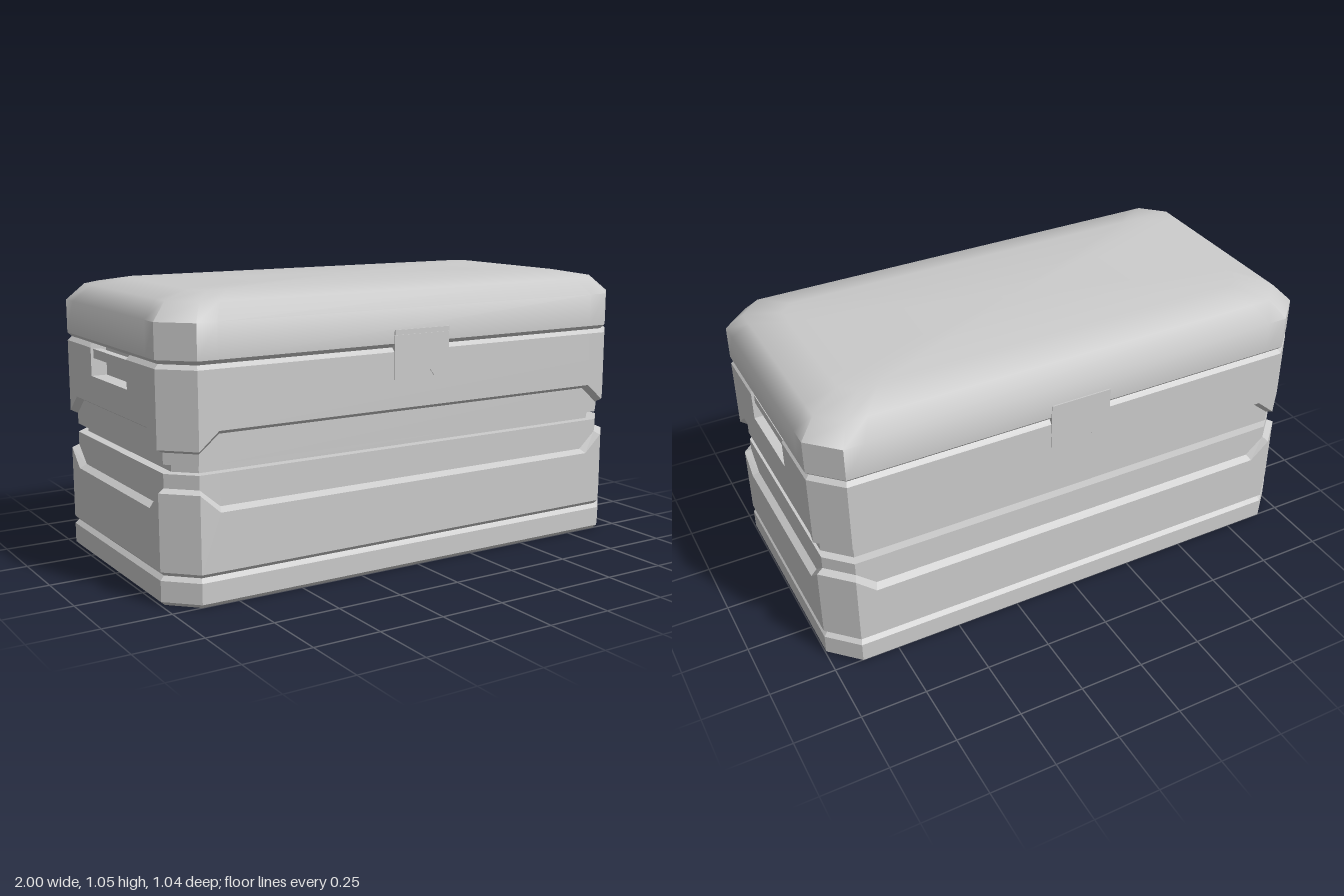
import * as THREE from 'three';
import { toCreasedNormals } from 'three/addons/utils/BufferGeometryUtils.js';

const HX = 1, HZ = 0.515, CHAMFER = 0.105, POCKET = 0.168;
const POCKET_QUADS = [2, 12]; // ring segments in the middle of the +x and -x sides

// Chamfered rectangle, inset by d; yMid is the height of the long middle run of each side
function ring(d, y, yMid = y, chamfer = CHAMFER - 0.586 * d) {
  const hx = HX - d, hz = HZ - d, cx = hx - chamfer, cz = hz - chamfer;
  const alongZ = [[-cz, y], [-cz + 0.075, yMid], [-POCKET, yMid], [POCKET, yMid], [cz - 0.075, yMid], [cz, y]];
  const alongX = [[cx, y], [cx - 0.075, yMid], [-cx + 0.075, yMid], [-cx, y]];
  return [
    ...alongZ.map(([z, h]) => [hx, h, z]),
    ...alongX.map(([x, h]) => [x, h, hz]),
    ...alongZ.map(([z, h]) => [-hx, h, -z]),
    ...alongX.map(([x, h]) => [-x, h, -hz]),
  ];
}

// Skin between rings from bottom to top, with optional flat caps and pocket openings
function loft(rings, { bottom = false, top = false, openFrom = Infinity } = {}) {
  const pos = [];
  const tri = (...pts) => pts.forEach((p) => pos.push(...p));
  const n = rings[0].length;
  for (let r = 0; r < rings.length - 1; r++) {
    for (let i = 0; i < n; i++) {
      if (r >= openFrom && POCKET_QUADS.includes(i)) continue;
      const j = (i + 1) % n, lo = rings[r], hi = rings[r + 1];
      tri(lo[i], hi[i], lo[j]);
      tri(lo[j], hi[i], hi[j]);
    }
  }
  const cap = (pts, up) => {
    const c = [0, pts[0][1], 0];
    for (let i = 0; i < n; i++) {
      const a = pts[i], b = pts[(i + 1) % n];
      if (up) tri(c, b, a); else tri(c, a, b);
    }
  };
  if (bottom) cap(rings[0], false);
  if (top) cap(rings[rings.length - 1], true);
  const geo = new THREE.BufferGeometry();
  geo.setAttribute('position', new THREE.Float32BufferAttribute(pos, 3));
  geo.computeVertexNormals();
  return geo;
}

export function createModel() {
  const model = new THREE.Group();
  model.name = 'storageCase';
  const flat = new THREE.MeshStandardMaterial({ color: 0xcccccc, flatShading: true });
  const smooth = new THREE.MeshStandardMaterial({ color: 0xcccccc });
  const inside = new THREE.MeshStandardMaterial({ color: 0xcccccc, side: THREE.BackSide });
  const add = (name, geo, mat = flat, parent = model) => {
    const mesh = new THREE.Mesh(geo, mat);
    mesh.name = name;
    parent.add(mesh);
    return mesh;
  };

  // Foot plinth with bevelled edges
  add('base', loft([ring(0.015, 0), ring(0, 0.015), ring(0, 0.09), ring(0.015, 0.105)], { bottom: true }));

  // Lower shell, its rim dipping along each side
  add('lowerBody', loft([
    ring(0.015, 0.105), ring(0, 0.12), ring(0, 0.395, 0.327), ring(0.025, 0.407, 0.342),
  ]));

  // Recessed waist with a deeper groove round the middle
  add('waist', loft([
    ring(0.025, 0.407, 0.342), ring(0.025, 0.457), ring(0.06, 0.457),
    ring(0.06, 0.489), ring(0.025, 0.489), ring(0.025, 0.53, 0.592),
  ]));

  // Upper shell, its rim arching along each side and open for the handle pockets
  add('upperBody', loft([
    ring(0.025, 0.53, 0.592), ring(0, 0.543, 0.607), ring(0, 0.71), ring(0, 0.815), ring(0.015, 0.83),
  ], { openFrom: 2 }));

  // Lid with soft shoulders and crisp vertical corners
  const lid = loft([
    ring(0.015, 0.83), ring(0, 0.845), ring(0, 0.97),
    ring(0.06, 1.032, 1.032, 0.085), ring(0.185, 1.055, 1.055, 0.05),
  ], { top: true });
  add('lid', toCreasedNormals(lid, 0.777), smooth);

  // Side handles: an open pocket with a grip bar
  for (const side of [1, -1]) {
    const handle = new THREE.Group();
    handle.name = side > 0 ? 'leftHandle' : 'rightHandle';
    const pocket = new THREE.BoxGeometry(0.06, 0.12, 2 * POCKET);
    pocket.setIndex(Array.from(pocket.index.array).slice(6)); // leave the outer face open
    pocket.translate(0.97, 0.77, 0);
    add('pocket', pocket, inside, handle);
    const grip = new THREE.BoxGeometry(0.03, 0.034, 2 * POCKET);
    grip.translate(0.975, 0.793, 0);
    add('gripBar', grip, flat, handle);
    handle.rotation.y = side > 0 ? 0 : Math.PI;
    model.add(handle);
  }

  // Latches front and back: a plate bridging the seam with a finger notch and top lip
  const plate = new THREE.Shape([
    [-0.12, 0.715], [-0.055, 0.715], [-0.035, 0.743], [0.035, 0.743], [0.055, 0.715],
    [0.12, 0.715], [0.12, 0.875], [-0.12, 0.875],
  ].map(([x, y]) => new THREE.Vector2(x, y)));
  for (const side of [1, -1]) {
    const latch = new THREE.Group();
    latch.name = side > 0 ? 'frontLatch' : 'backLatch';
    const plateGeo = new THREE.ExtrudeGeometry(plate, { depth: 0.028, bevelEnabled: false });
    plateGeo.translate(0, 0, 0.49);
    add('plate', plateGeo, flat, latch);
    const lip = new THREE.BoxGeometry(0.24, 0.018, 0.03);
    lip.translate(0, 0.885, 0.505);
    add('lip', lip, flat, latch);
    latch.rotation.y = side > 0 ? 0 : Math.PI;
    model.add(latch);
  }

  return model;
}
